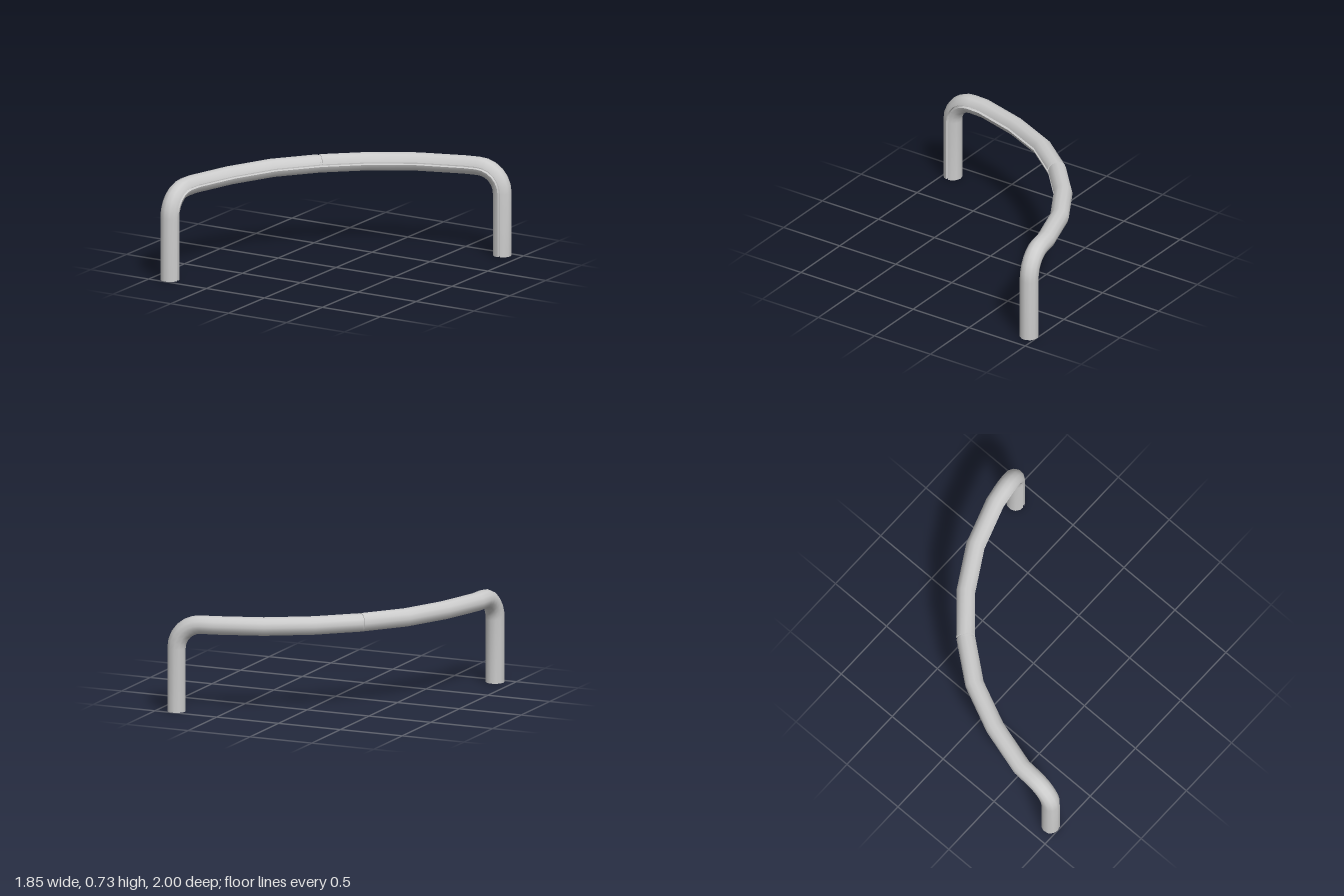
import * as THREE from 'three';
import { toCreasedNormals } from 'three/addons/utils/BufferGeometryUtils.js';

const R = 0.07, TOP = 0.66, BEND = 0.185, SEAM = 0.009;
const UP = new THREE.Vector3(0, 1, 0);

// Plan of the rail (x, z): leg, arc corners, leg
const PLAN = [
  [-0.86, 0.93], [-0.845, 0.635], [-0.745, 0.285], [-0.59, -0.055], [-0.36, -0.345],
  [-0.09, -0.585], [0.225, -0.77], [0.57, -0.885], [0.855, -0.935],
].map(([x, z]) => new THREE.Vector3(x, TOP, z));

// Round section with a narrow slot on the inner side: [degrees, radius]
const SECTION = [[6, 0.048], [8, R]];
for (let a = 30; a <= 330; a += 30) SECTION.push([a, R]);
SECTION.push([352, R], [354, 0.048]);

// Stations of one leg and its bend, from the floor up; sign -1 runs down to the floor
function legStations(foot, inward, sign) {
  const stations = [];
  const add = (pos, phi) => stations.push({
    pos,
    along: inward.clone().multiplyScalar(sign),
    tangent: inward.clone().multiplyScalar(sign * Math.sin(phi)).addScaledVector(UP, sign * Math.cos(phi)),
  });
  add(new THREE.Vector3(foot.x, 0, foot.z), 0);
  for (let k = 0; k <= 6; k++) {
    const phi = (k / 6) * Math.PI / 2;
    const pos = foot.clone().addScaledVector(inward, BEND * (1 - Math.cos(phi)));
    pos.y = TOP - BEND + BEND * Math.sin(phi);
    add(pos, phi);
  }
  return sign > 0 ? stations : stations.reverse();
}

function railStations() {
  const n = PLAN.length;
  const dir = (a, b) => PLAN[b].clone().sub(PLAN[a]).normalize();
  const list = legStations(PLAN[0], dir(0, 1), 1);
  for (let i = 1; i < n - 1; i++) {
    const along = dir(i - 1, i).add(dir(i, i + 1)).normalize();
    const add = (offset, dip) => list.push({
      pos: PLAN[i].clone().addScaledVector(along, offset), along, tangent: along, dip,
    });
    if (i === 4) {
      // joint between the two halves of the rail
      add(-SEAM, 0); add(-SEAM * 0.8, 0.006); add(SEAM * 0.8, 0.006); add(SEAM, 0);
    } else add(0, 0);
  }
  return list.concat(legStations(PLAN[n - 1], dir(n - 1, n - 2), -1));
}

// Sweep the slotted section along the stations, open at both ends
function sweep(stations) {
  const pos = [], index = [], m = SECTION.length;
  for (const { pos: c, along, tangent, dip = 0 } of stations) {
    const side = new THREE.Vector3().crossVectors(along, UP).normalize();
    const up = new THREE.Vector3().crossVectors(side, tangent);
    for (const [deg, radius] of SECTION) {
      const a = THREE.MathUtils.degToRad(deg);
      const r = radius - (deg > 6 && deg <= 180 ? dip : 0);
      const p = c.clone().addScaledVector(side, r * Math.cos(a)).addScaledVector(up, r * Math.sin(a));
      pos.push(p.x, p.y, p.z);
    }
  }
  for (let i = 0; i < stations.length - 1; i++) {
    for (let j = 0; j < m; j++) {
      const a = i * m + j, b = i * m + (j + 1) % m;
      index.push(a, a + m, b, b, a + m, b + m);
    }
  }
  const geometry = new THREE.BufferGeometry();
  geometry.setAttribute('position', new THREE.Float32BufferAttribute(pos, 3));
  geometry.setIndex(index);
  return toCreasedNormals(geometry, THREE.MathUtils.degToRad(42));
}

export function createModel() {
  const group = new THREE.Group();
  group.name = 'curvedHandrail';
  const material = new THREE.MeshStandardMaterial({ color: 0xcccccc, side: THREE.DoubleSide });
  const rail = new THREE.Mesh(sweep(railStations()), material);
  rail.name = 'slottedRail';
  group.add(rail);
  return group;
}
